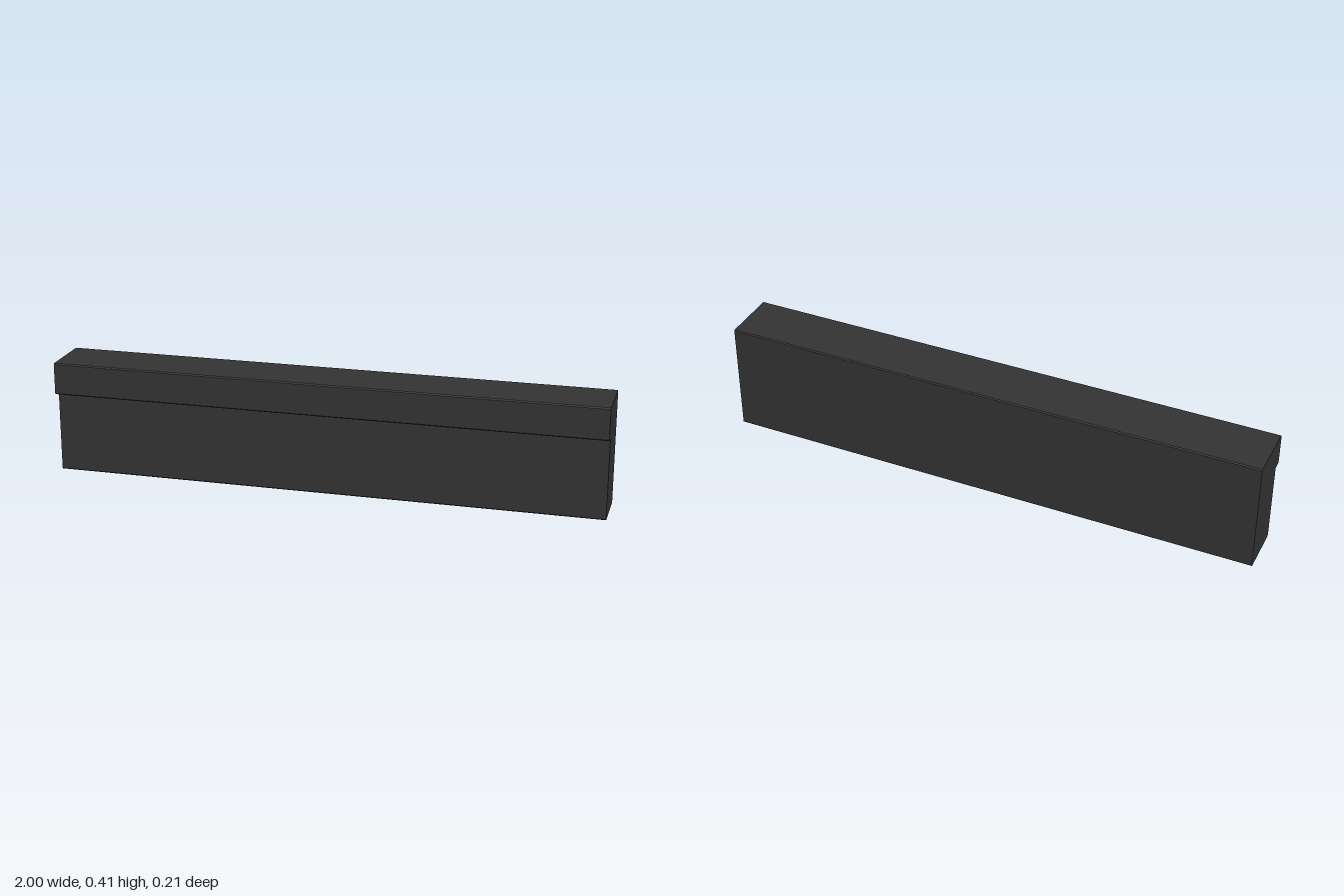
import * as THREE from 'three';

// End profile as [z, y, chamfer], counter-clockwise
const BEVEL = 0.004;
const PROFILE = [
  [-0.106, 0, BEVEL],
  [0.074, 0, BEVEL],
  [0.074, 0.298, 0],
  [0.106, 0.298, BEVEL],
  [0.106, 0.415, BEVEL],
  [-0.106, 0.415, BEVEL],
];

// Cuts each corner of the profile back by its chamfer
function chamferedShape(corners) {
  const points = [];
  const n = corners.length;
  corners.forEach(([z, y, cut], i) => {
    const corner = new THREE.Vector2(z, y);
    if (!cut) {
      points.push(corner);
      return;
    }
    for (const [a, b] of [corners[(i + n - 1) % n], corners[(i + 1) % n]]) {
      const along = new THREE.Vector2(a, b).sub(corner).setLength(cut);
      points.push(along.add(corner));
    }
  });
  return new THREE.Shape(points);
}

export function createModel() {
  const group = new THREE.Group();
  group.name = 'lippedBeam';

  // Long beam with an overhanging lip along the top of the front
  const geometry = new THREE.ExtrudeGeometry(chamferedShape(PROFILE), {
    depth: 2,
    bevelEnabled: false,
  });
  geometry.rotateY(-Math.PI / 2).translate(1, 0, 0);

  const beam = new THREE.Mesh(
    geometry,
    new THREE.MeshStandardMaterial({ color: 0x333333 })
  );
  beam.name = 'beamWithFrontLip';
  group.add(beam);
  return group;
}
